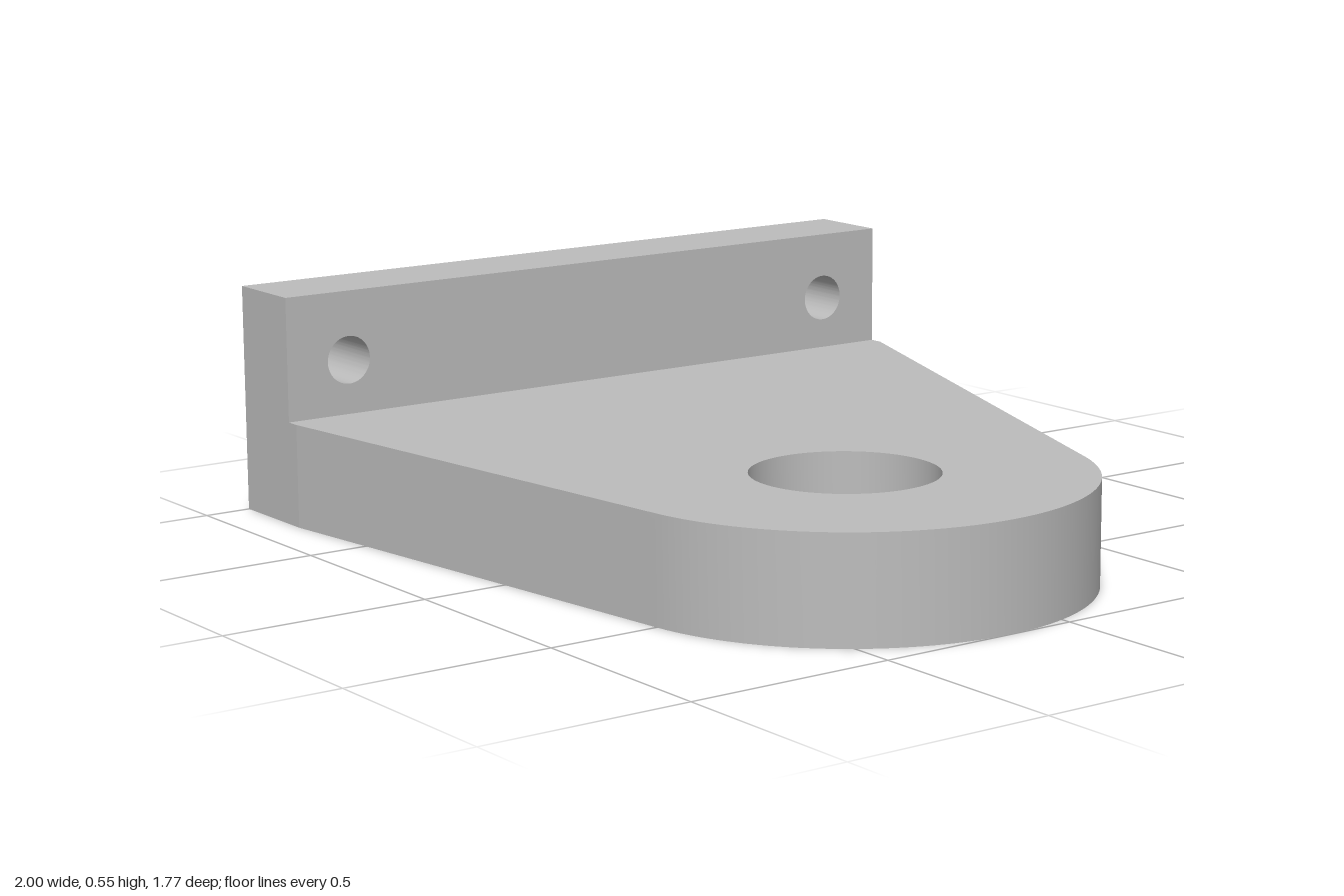
import * as THREE from 'three';
import { toCreasedNormals } from 'three/addons/utils/BufferGeometryUtils.js';

const PLATE_TOP = 0.25;
const FLANGE_TOP = 0.55;
const HALF_WIDTH = 0.885;

// Extrude a shape, smoothing only the curved walls
function extrude(shape, depth) {
  const geometry = new THREE.ExtrudeGeometry(shape, { depth, bevelEnabled: false, curveSegments: 48 });
  return toCreasedNormals(geometry, 0.1);
}

function addHole(shape, x, y, radius) {
  shape.holes.push(new THREE.Path().absarc(x, y, radius, 0, Math.PI * 2, true));
}

// Tapered base plate: straight edges run tangent to an offset round nose
function basePlate() {
  const cx = 0.43, cy = -0.165, radius = 0.57, shoulderX = -0.755;
  const tangentAngle = (y, side) => {
    const dx = shoulderX - cx, dy = y - cy;
    return Math.atan2(dy, dx) + side * Math.acos(radius / Math.hypot(dx, dy));
  };
  const shape = new THREE.Shape();
  shape.moveTo(-1, HALF_WIDTH);
  shape.lineTo(-1, -HALF_WIDTH);
  shape.lineTo(shoulderX, -HALF_WIDTH);
  shape.absarc(cx, cy, radius, tangentAngle(-HALF_WIDTH, 1), tangentAngle(HALF_WIDTH, -1), false);
  shape.lineTo(shoulderX, HALF_WIDTH);
  shape.closePath();
  addHole(shape, cx, cy, 0.217);
  return extrude(shape, PLATE_TOP).rotateX(-Math.PI / 2);
}

// Upright mounting flange with two bolt holes
function mountingFlange() {
  const shape = new THREE.Shape();
  shape.moveTo(-HALF_WIDTH, PLATE_TOP);
  shape.lineTo(HALF_WIDTH, PLATE_TOP);
  shape.lineTo(HALF_WIDTH, FLANGE_TOP);
  shape.lineTo(-HALF_WIDTH, FLANGE_TOP);
  shape.closePath();
  for (const side of [-1, 1]) addHole(shape, side * 0.717, 0.382, 0.058);
  return extrude(shape, 0.21).rotateY(Math.PI / 2).translate(-1, 0, 0);
}

export function createModel() {
  const metal = new THREE.MeshStandardMaterial({ color: 0xbcbcbc });
  metal.name = 'grey metal';
  const group = new THREE.Group();
  group.name = 'mountingBracket';
  const parts = { basePlate: basePlate(), mountingFlange: mountingFlange() };
  for (const [name, geometry] of Object.entries(parts)) {
    const mesh = new THREE.Mesh(geometry, metal);
    mesh.name = name;
    group.add(mesh);
  }
  return group;
}
